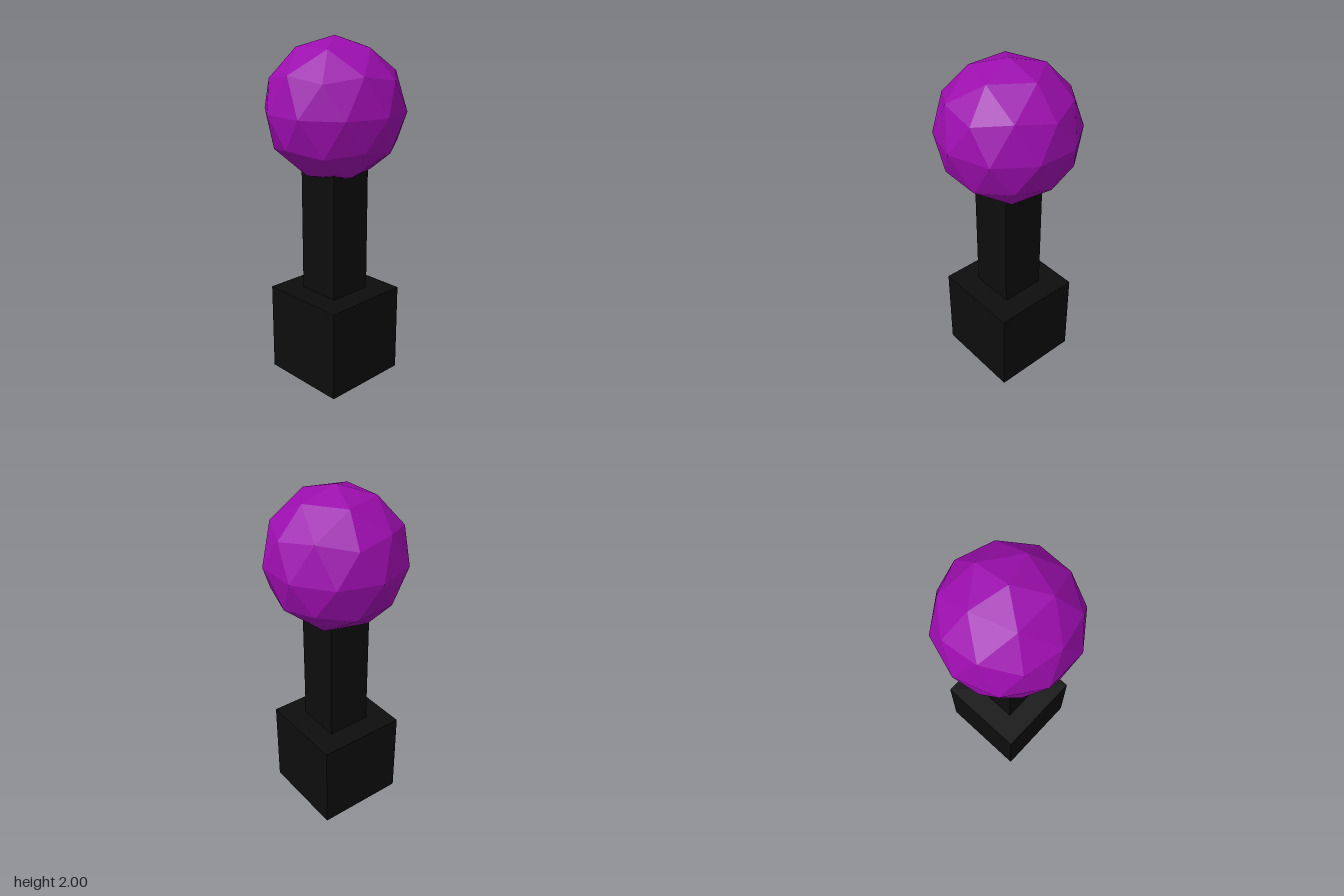
import * as THREE from 'three';

export function createModel() {
  const model = new THREE.Group();
  const black = new THREE.MeshStandardMaterial({ color: 0x0d0d0d });
  const purple = new THREE.MeshStandardMaterial({ color: 0x9c0eae, flatShading: true });

  // Square block standing from y = bottom to y = top
  function block(name, width, bottom, top) {
    const mesh = new THREE.Mesh(new THREE.BoxGeometry(width, top - bottom, width), black);
    mesh.position.y = (bottom + top) / 2;
    mesh.name = name;
    model.add(mesh);
  }

  block('base', 0.533, 0, 0.533);
  block('post', 0.266, 0.533, 1.33); // top end is sunk into the ball

  // Faceted ball, turned so that one corner points straight up
  const ballGeometry = new THREE.IcosahedronGeometry(0.4, 1);
  ballGeometry.rotateZ(-Math.atan(2 / (1 + Math.sqrt(5))));
  const ball = new THREE.Mesh(ballGeometry, purple);
  ball.position.y = 1.6;
  ball.name = 'ball';
  model.add(ball);

  return model;
}
